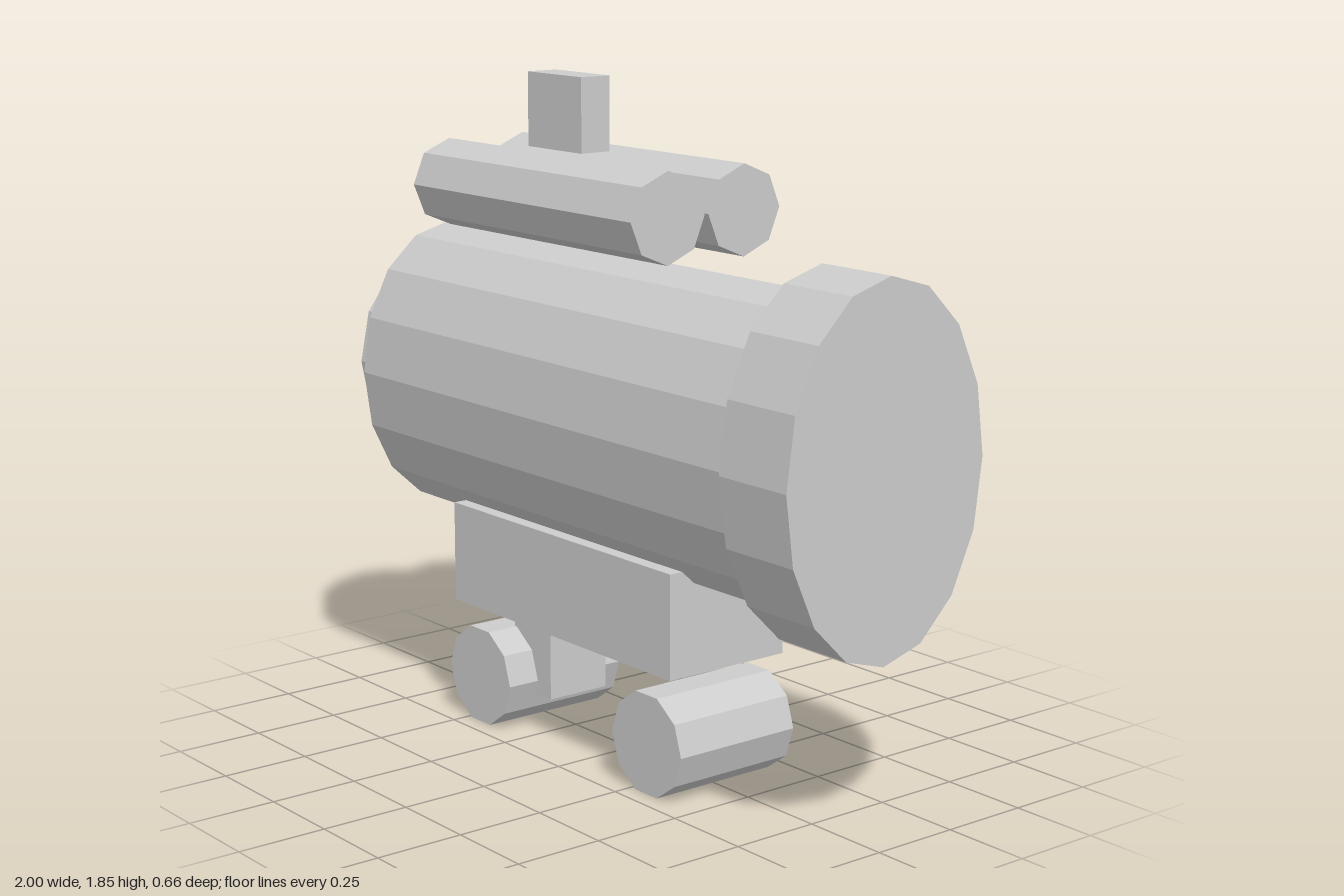
import * as THREE from 'three';

export function createModel() {
  const group = new THREE.Group();
  const grey = new THREE.MeshStandardMaterial({ color: 0xcccccc, flatShading: true });
  grey.name = 'light grey';

  const add = (name, geometry, x, y, z) => {
    const mesh = new THREE.Mesh(geometry, grey);
    mesh.name = name;
    mesh.position.set(x, y, z);
    group.add(mesh);
  };

  // Box given by its x and y limits, centred on z = 0
  const box = (name, x0, x1, y0, y1, depth) =>
    add(name, new THREE.BoxGeometry(x1 - x0, y1 - y0, depth), (x0 + x1) / 2, (y0 + y1) / 2, 0);

  // Faceted elliptical cylinder lying along x
  const barrel = (name, x0, x1, y, z, ry, rz, sides) => {
    const geometry = new THREE.CylinderGeometry(1, 1, x1 - x0, sides);
    geometry.rotateZ(Math.PI / 2).scale(1, ry, rz);
    add(name, geometry, (x0 + x1) / 2, y, z);
  };

  // Main tube with its wide front ring and narrow rear cap
  barrel('tube', -0.853, 0.756, 0.973, 0, 0.414, 0.303, 16);
  barrel('frontRing', 0.756, 1, 0.973, 0, 0.487, 0.328, 16);
  barrel('rearCap', -1, -0.853, 0.973, 0, 0.2925, 0.218, 12);

  // Twin rods on top and the small block above them
  for (const side of [1, -1]) {
    barrel(side > 0 ? 'frontRod' : 'backRod', -0.658, 0.316, 1.533, side * 0.128, 0.122, 0.122, 8);
  }
  box('topBlock', -0.39, -0.15, 1.65, 1.855, 0.096);

  // Base and grip below
  box('base', -0.56, 0.412, 0.34, 0.627, 0.392);
  box('grip', -0.407, -0.237, 0.1, 0.34, 0.196);

  // Ten-sided rollers lying along z, flat side down
  for (const [name, x] of [['rearRoller', -0.443], ['frontRoller', 0.314]]) {
    const geometry = new THREE.CylinderGeometry(0.145, 0.145, 0.392, 10, 1, false, Math.PI / 2);
    add(name, geometry.rotateX(Math.PI / 2), x, 0.14, 0);
  }

  return group;
}
